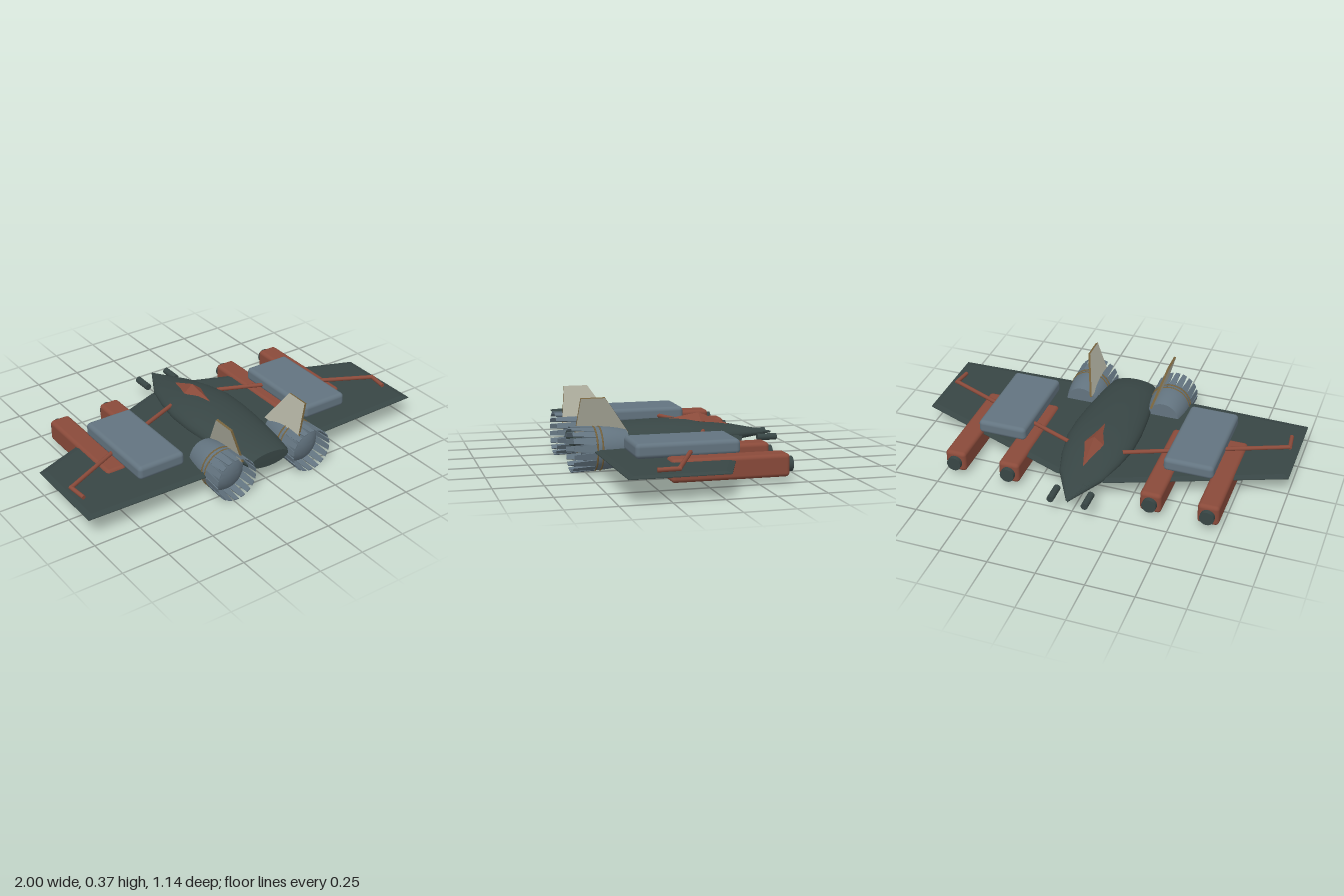
import * as THREE from 'three';
import { toCreasedNormals } from 'three/addons/utils/BufferGeometryUtils.js';
import { RoundedBoxGeometry } from 'three/addons/geometries/RoundedBoxGeometry.js';

const material = (name, color) => {
  const m = new THREE.MeshStandardMaterial({ color });
  m.name = name;
  return m;
};

export function createModel() {
  const hull = material('dark hull', 0x384645);
  const red = material('rust red', 0x8a4a3a);
  const steel = material('blue grey', 0x637480);
  const bone = material('bone', 0xb4b4a4);
  const bronze = material('bronze', 0x76623c);

  const model = new THREE.Group();
  model.name = 'fighter';
  const add = (name, geometry, mat, x = 0, y = 0, z = 0, parent = model) => {
    const mesh = new THREE.Mesh(geometry, mat);
    mesh.name = name;
    mesh.position.set(x, y, z);
    parent.add(mesh);
    return mesh;
  };
  const polygon = (pts) => new THREE.Shape(pts.map(([x, y]) => new THREE.Vector2(x, y)));

  // Straight round rod between two points
  const rod = (name, a, b, r, mat) => {
    const from = new THREE.Vector3(...a), to = new THREE.Vector3(...b);
    const dir = to.clone().sub(from);
    const mesh = add(name, new THREE.CylinderGeometry(r, r, dir.length(), 12), mat);
    mesh.position.copy(from).add(to).multiplyScalar(0.5);
    mesh.quaternion.setFromUnitVectors(new THREE.Vector3(0, 1, 0), dir.normalize());
  };

  // Fuselage: elliptical sections [z, half width, top, bottom], nose to tail
  const stations = [
    [-0.572, 0.003, 0.122, 0.112], [-0.36, 0.12, 0.165, 0.09], [-0.22, 0.16, 0.192, 0.077],
    [-0.08, 0.185, 0.212, 0.068], [0.06, 0.186, 0.213, 0.065], [0.2, 0.175, 0.21, 0.066],
    [0.4, 0.15, 0.2, 0.075], [0.51, 0.128, 0.182, 0.088], [0.53, 0.115, 0.174, 0.096], [0.532, 0, 0.135, 0.135],
  ];
  const N = 32, pos = [], index = [];
  stations.forEach(([z, w, top, bottom], i) => {
    for (let j = 0; j < N; j++) {
      const a = (j / N) * Math.PI * 2;
      pos.push(w * Math.cos(a), (top + bottom) / 2 + ((top - bottom) / 2) * Math.sin(a), z);
      if (i === stations.length - 1) continue;
      const p = i * N + j, q = i * N + ((j + 1) % N);
      index.push(p, q, p + N, q, q + N, p + N);
    }
  });
  const body = new THREE.BufferGeometry();
  body.setAttribute('position', new THREE.Float32BufferAttribute(pos, 3));
  body.setIndex(index);
  add('fuselage', toCreasedNormals(body, 0.6), hull);

  // Canopy: faceted diamond with a raised ridge
  const canopy = new THREE.OctahedronGeometry(1);
  const cp = canopy.attributes.position;
  for (let i = 0; i < cp.count; i++) {
    const x = cp.getX(i), y = cp.getY(i), z = cp.getZ(i);
    const height = z < -0.5 ? 0.168 : z > 0.5 ? 0.212 : y > 0.5 ? 0.24 : y < -0.5 ? 0.16 : 0.199;
    cp.setXYZ(i, x * 0.052, height, -0.165 + z * 0.175);
  }
  canopy.computeVertexNormals();
  add('canopy', canopy, red);

  // Wing: one thin plate with bevelled edges
  const wing = new THREE.ExtrudeGeometry(polygon([
    [0.13, -0.37], [1, -0.03], [1, 0.455], [0.13, 0.475],
    [-0.13, 0.475], [-1, 0.455], [-1, -0.03], [-0.13, -0.37],
  ]), { depth: 0.004, bevelThickness: 0.007, bevelSize: 0.03, bevelOffset: -0.03, bevelSegments: 1 });
  wing.rotateX(Math.PI / 2);
  add('wing', wing, hull, 0, 0.124, 0);

  // Sensor housing under the nose
  add('chinHousing', new RoundedBoxGeometry(0.07, 0.05, 0.17, 2, 0.012), hull, 0, 0.092, -0.3);

  // Nacelle profile, closed by a domed exhaust
  const nacelle = new THREE.LatheGeometry([
    [0, 0.285], [0.088, 0.285], [0.098, 0.325], [0.107, 0.38], [0.11, 0.42], [0.107, 0.475],
    [0.095, 0.49], [0.055, 0.508], [0, 0.515],
  ].map(([r, z]) => new THREE.Vector2(r, z)), 40);
  nacelle.rotateX(Math.PI / 2);
  const nacelleGeometry = toCreasedNormals(nacelle, 0.7);

  // Exhaust petal: thin plate, narrower and flared toward the tail
  const petal = new THREE.BoxGeometry(0.037, 0.005, 0.115);
  const pp = petal.attributes.position;
  for (let i = 0; i < pp.count; i++) {
    if (pp.getZ(i) > 0) {
      pp.setX(i, pp.getX(i) * 0.68);
      pp.setY(i, pp.getY(i) + 0.005);
    }
  }
  petal.computeVertexNormals();

  // Tail fin with a bronze rim
  const finGeometry = new THREE.ExtrudeGeometry(
    polygon([[0.26, -0.02], [0.537, -0.02], [0.515, 0.178], [0.39, 0.178]]),
    { depth: 0.012, bevelEnabled: false });
  finGeometry.translate(0, 0, -0.006);
  finGeometry.rotateY(-Math.PI / 2);

  const pod = new RoundedBoxGeometry(0.112, 0.114, 0.595, 3, 0.02);
  const podNose = new THREE.CylinderGeometry(0.038, 0.038, 0.035, 24).rotateX(Math.PI / 2);
  const gun = new THREE.CylinderGeometry(0.018, 0.018, 0.105, 16).rotateX(Math.PI / 2);
  const armour = new RoundedBoxGeometry(0.265, 0.075, 0.525, 3, 0.022);
  const band = new THREE.TorusGeometry(0.109, 0.0045, 8, 40);

  for (const [s, side] of [[1, 'left'], [-1, 'right']]) {
    // Engine
    const engine = new THREE.Group();
    engine.name = side + 'Engine';
    engine.position.set(s * 0.233, 0.12, 0);
    model.add(engine);
    add('nacelle', nacelleGeometry, steel, 0, 0, 0, engine);
    for (const z of [0.425, 0.452]) add('engineBand', band, bronze, 0, 0, z, engine);
    for (let i = 0; i < 18; i++) {
      const a = (i / 18) * Math.PI * 2;
      add('exhaustPetal', petal, steel, -Math.sin(a) * 0.109, Math.cos(a) * 0.109, 0.515, engine).rotation.z = a;
    }

    // Outward leaning fin
    add(side + 'Fin', finGeometry, [bone, bronze], s * 0.178, 0.203, 0).rotation.z = -s * 0.28;

    // Weapon pods, guns and wing armour
    for (const x of [0.383, 0.682]) {
      add(side + 'Pod', pod, red, s * x, 0.087, -0.114);
      add(side + 'PodNose', podNose, hull, s * x, 0.085, -0.418);
    }
    add(side + 'Gun', gun, hull, s * 0.091, 0.107, -0.518);
    add(side + 'WingArmour', armour, steel, s * 0.512, 0.172, 0.072);

    // Pipes running over the wing
    rod(side + 'InnerPipe', [s * 0.15, 0.165, -0.147], [s * 0.4, 0.165, -0.042], 0.011, red);
    rod(side + 'OuterPipe', [s * 0.62, 0.16, 0.055], [s * 0.954, 0.15, 0.207], 0.011, red);
    rod(side + 'PipeEnd', [s * 0.954, 0.15, 0.2], [s * 0.942, 0.146, 0.308], 0.011, red);
  }
  return model;
}
